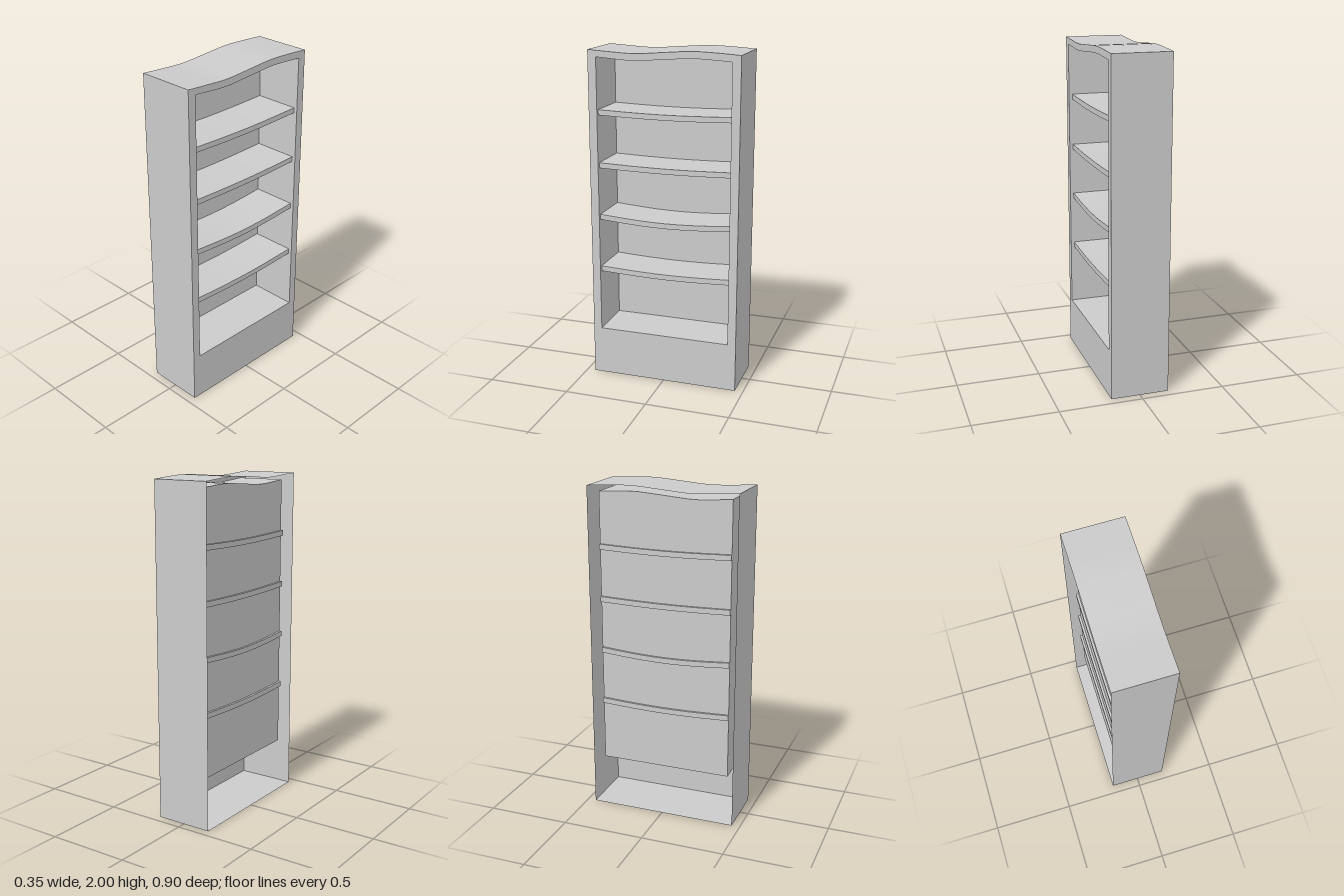
import * as THREE from 'three';
import { toCreasedNormals } from 'three/addons/utils/BufferGeometryUtils.js';

// Profiles are drawn as (u, y) with u = -z, then turned so that they face +x.
const HALF_X = 0.175;
const BACK_X = -0.12;

const solid = new THREE.MeshStandardMaterial({ color: 0xcccccc });
const thin = new THREE.MeshStandardMaterial({ color: 0xcccccc, side: THREE.DoubleSide });

// Counter-clockwise outline: flat bottom, straight sides, wavy top
function outline(halfWidth, bottom, topPoints) {
  const wave = new THREE.SplineCurve(topPoints.map(([u, y]) => new THREE.Vector2(u, y)));
  return [
    new THREE.Vector2(-halfWidth, bottom),
    new THREE.Vector2(halfWidth, bottom),
    ...wave.getPoints(20).reverse(),
  ];
}

// Open band that sweeps a closed outline from x0 to x1
function band(points, x0, x1) {
  const pos = [];
  points.forEach((a, i) => {
    const b = points[(i + 1) % points.length];
    pos.push(a.x, a.y, x0, b.x, b.y, x0, b.x, b.y, x1);
    pos.push(a.x, a.y, x0, b.x, b.y, x1, a.x, a.y, x1);
  });
  const geo = new THREE.BufferGeometry();
  geo.setAttribute('position', new THREE.Float32BufferAttribute(pos, 3));
  return toCreasedNormals(geo, 0.5);
}

// Board with a gentle sag in the middle
function shelfGeometry(top, sag) {
  const half = 0.4, thickness = 0.032, steps = 12;
  const upper = [], lower = [];
  for (let i = 0; i <= steps; i++) {
    const u = -half + (2 * half * i) / steps;
    const y = top - sag * Math.cos((u / half) * Math.PI / 2);
    upper.unshift(new THREE.Vector2(u, y));
    lower.push(new THREE.Vector2(u, y - thickness));
  }
  const geo = new THREE.ExtrudeGeometry(new THREE.Shape([...lower, ...upper]), { depth: 0.288, bevelEnabled: false });
  return toCreasedNormals(geo.translate(0, 0, -0.134), 0.5);
}

export function createModel() {
  const group = new THREE.Group();
  const add = (name, geo, material) => {
    const mesh = new THREE.Mesh(geo.rotateY(Math.PI / 2), material);
    mesh.name = name;
    group.add(mesh);
  };

  const outer = outline(0.45, 0, [[-0.45, 1.99], [-0.32, 1.982], [-0.17, 1.976], [0, 1.988], [0.17, 2], [0.32, 1.996], [0.45, 1.988]]);
  const inner = outline(0.4, 0.292, [[-0.4, 1.95], [-0.3, 1.942], [-0.17, 1.936], [0, 1.948], [0.17, 1.96], [0.3, 1.956], [0.4, 1.95]]);

  // Thin outer case, open at the back
  add('outerCase', band(outer, -HALF_X, HALF_X), thin);

  // Face frame with the opening cut out
  const face = new THREE.Shape(outer);
  face.holes.push(new THREE.Path(inner));
  add('faceFrame', new THREE.ShapeGeometry(face).translate(0, 0, HALF_X), thin);

  // Inner compartment: walls and recessed back panel
  add('innerLining', band([...inner].reverse(), BACK_X, HALF_X), thin);
  add('backPanel', new THREE.ShapeGeometry(new THREE.Shape(inner)).translate(0, 0, BACK_X), thin);

  // Sagging shelves, as [height at the ends, sag]
  [[1.645, 0.009], [1.331, 0.008], [1.016, 0.021], [0.69, 0.013]].forEach(([top, sag], i) =>
    add(`shelf${i + 1}`, shelfGeometry(top, sag), solid));

  return group;
}
